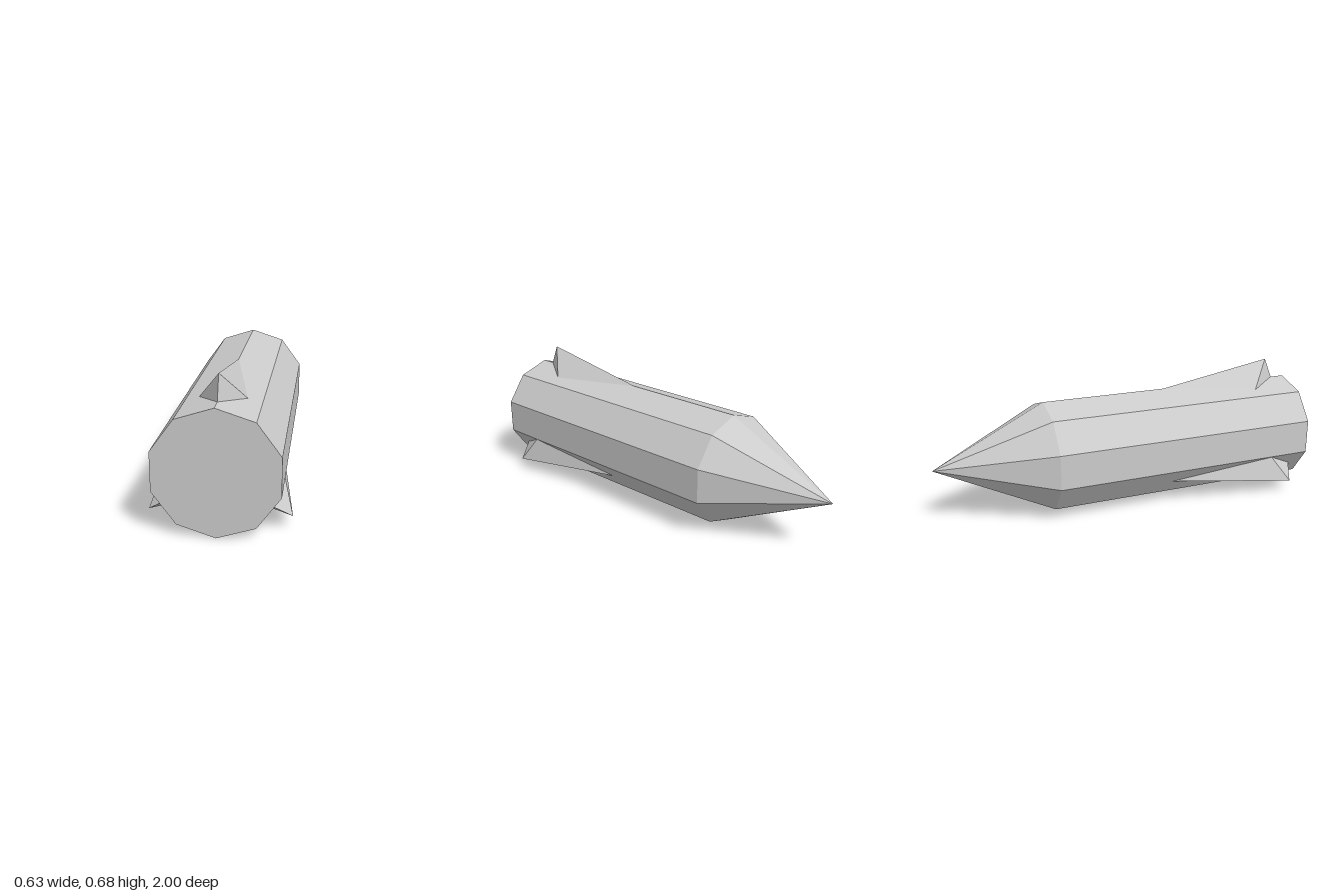
import * as THREE from 'three';
import { ConvexGeometry } from 'three/addons/geometries/ConvexGeometry.js';

const R = 0.286; // hull radius, also the height of its axis
const SIDES = 10;

export function createModel() {
  const model = new THREE.Group();
  const material = new THREE.MeshStandardMaterial({ color: 0xcccccc, flatShading: true });

  function add(name, geometry) {
    const mesh = new THREE.Mesh(geometry, material);
    mesh.name = name;
    mesh.position.y = R;
    model.add(mesh);
    return mesh;
  }

  // Ten-sided hull, lying along z with a corner on top
  add('hull', new THREE.CylinderGeometry(R, R, 1.43, SIDES).rotateX(-Math.PI / 2).translate(0, 0, 0.285));

  // Pointed nose
  add('noseCone', new THREE.ConeGeometry(R, 0.57, SIDES, 1, true).rotateX(-Math.PI / 2).translate(0, 0, -0.715));

  // Fin: a swept pyramid whose base is pushed on into the hull
  const tip = new THREE.Vector3(0, 0.394, 0.876);
  const base = [
    [0, 0.286, 0.24],
    [0.105, 0.252, 0.755],
    [-0.105, 0.252, 0.755],
    [0, 0.286, 0.922],
  ].map(([x, y, z]) => tip.clone().lerp(new THREE.Vector3(x, y, z), 1.3));

  const fins = [
    ['topFin', 0, 0],
    ['lowerLeftFin', -126, -0.007],
    ['lowerRightFin', 126, -0.007],
  ];
  for (const [name, degrees, sink] of fins) {
    const geometry = new ConvexGeometry([tip, ...base]).translate(0, sink, 0);
    add(name, geometry).rotation.z = THREE.MathUtils.degToRad(degrees);
  }

  return model;
}
